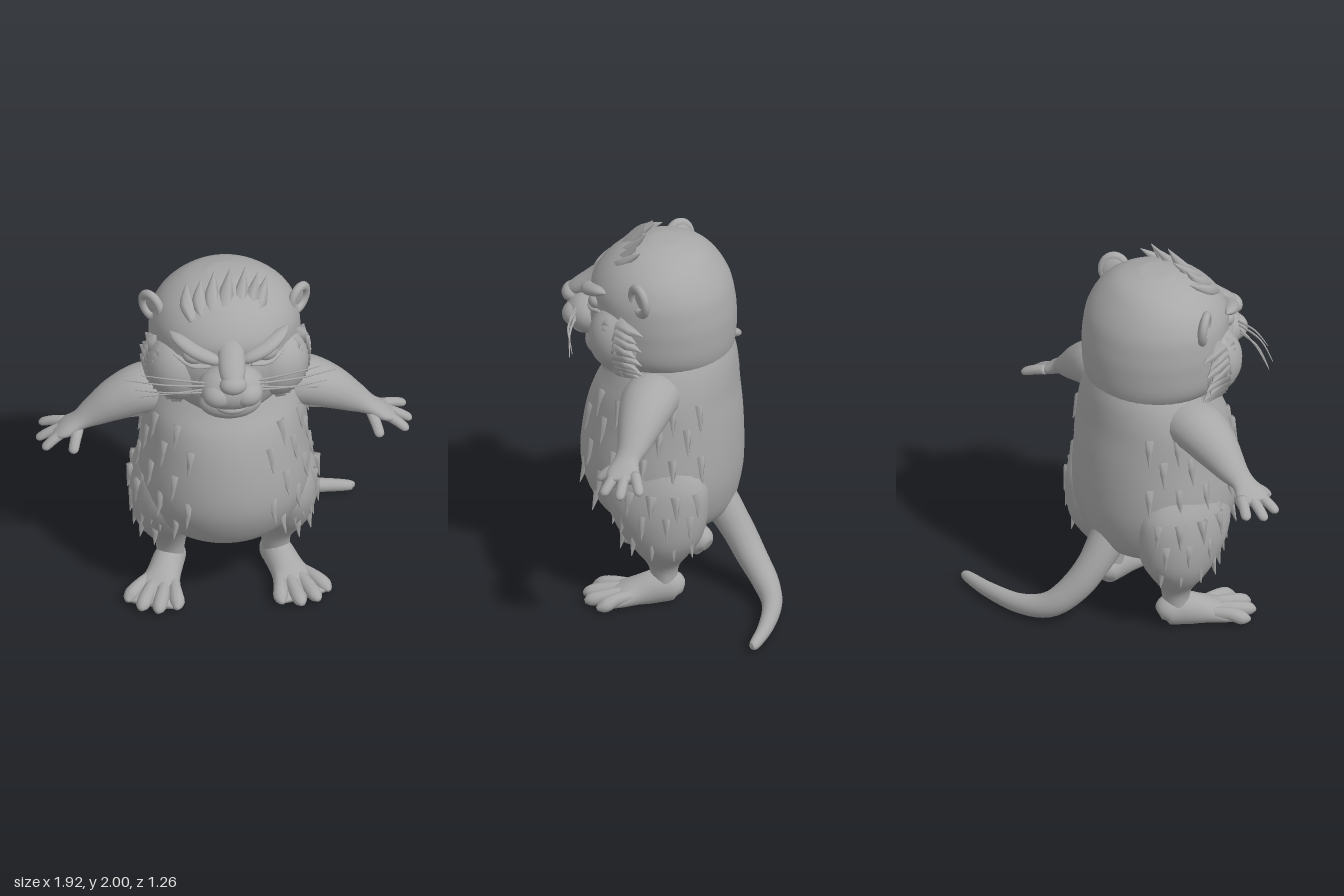
import * as THREE from 'three';
import { mergeGeometries } from 'three/addons/utils/BufferGeometryUtils.js';

const fur = new THREE.MeshStandardMaterial({ color: 0xa8a8a8 });
fur.name = 'grey fur';
const V = (x, y, z) => new THREE.Vector3(x, y, z);

// Catmull-Rom through rows of numbers, t from 0 to 1
function sample(rows, t) {
  const f = t * (rows.length - 1), i = Math.min(Math.floor(f), rows.length - 2), k = f - i;
  const at = j => rows[Math.max(0, Math.min(rows.length - 1, j))];
  const [a, b, c, d] = [at(i - 1), at(i), at(i + 1), at(i + 2)];
  return b.map((p, n) => p + 0.5 * k * (c[n] - a[n] + k * (2 * a[n] - 5 * p + 4 * c[n] - d[n]
    + k * (3 * (p - c[n]) + d[n] - a[n]))));
}

// Closed skin over a list of rings, always wound outward
function skin(rings) {
  const n = rings[0].length, m = rings.length, pos = [], idx = [];
  rings.flat().forEach(p => pos.push(p.x, p.y, p.z));
  for (let j = 0; j < m - 1; j++) for (let i = 0; i < n; i++) {
    const a = j * n + i, b = j * n + (i + 1) % n;
    idx.push(a, b, b + n, a, b + n, a + n);
  }
  [0, m - 1].forEach((j, e) => {
    const c = rings[j].reduce((s, p) => s.add(p), V(0, 0, 0)).divideScalar(n);
    pos.push(c.x, c.y, c.z);
    for (let i = 0; i < n; i++) {
      const a = j * n + i, b = j * n + (i + 1) % n;
      idx.push(m * n + e, e ? a : b, e ? b : a);
    }
  });
  let volume = 0;
  const P = i => V(pos[3 * i], pos[3 * i + 1], pos[3 * i + 2]);
  for (let i = 0; i < idx.length; i += 3) volume += P(idx[i]).dot(P(idx[i + 1]).cross(P(idx[i + 2])));
  if (volume < 0) idx.reverse();
  const g = new THREE.BufferGeometry();
  g.setAttribute('position', new THREE.Float32BufferAttribute(pos, 3));
  g.setIndex(idx);
  g.computeVertexNormals();
  return g;
}

// Point on a level section: [y, half width, back z, front z, middle z, centre x]
function levelPoint([y, rx, zb, zf, zm, cx], angle) {
  const s = Math.sin(angle);
  return V(cx + rx * Math.cos(angle), y, zm + s * (s > 0 ? zf - zm : zm - zb));
}
function stack(rows, steps = 28, sides = 40) {
  return skin(Array.from({ length: steps + 1 }, (_, j) => {
    const row = sample(rows, j / steps);
    return Array.from({ length: sides }, (_, i) => levelPoint(row, i / sides * Math.PI * 2));
  }));
}

// Tapered limb through [x, y, z, height radius, width radius]
function limb(rows, steps = 16, sides = 16) {
  return skin(Array.from({ length: steps + 1 }, (_, j) => {
    const t = j / steps, r = sample(rows, t);
    const a = sample(rows, Math.max(0, t - 0.01)), b = sample(rows, Math.min(1, t + 0.01));
    const dir = V(b[0] - a[0], b[1] - a[1], b[2] - a[2]).normalize();
    const h = V(0, 1, 0.001).cross(dir).normalize(), v = dir.clone().cross(h);
    return Array.from({ length: sides }, (_, i) => {
      const w = i / sides * Math.PI * 2;
      return V(r[0], r[1], r[2]).addScaledVector(h, r[4] * Math.cos(w)).addScaledVector(v, r[3] * Math.sin(w));
    });
  }));
}
const tuft = (a, b, r) => limb([[...a, r, r], [...b, 0.002, 0.002]], 2, 5);

function blob(x, y, z, rx, ry, rz, tilt = 0) {
  const g = new THREE.SphereGeometry(1, 24, 16).scale(rx, ry, rz).rotateZ(tilt).translate(x, y, z);
  g.deleteAttribute('uv');
  return g;
}
function mirrored(g) {
  const m = g.clone().scale(-1, 1, 1);
  m.index.array.reverse();
  return m;
}

export function createModel() {
  const model = new THREE.Group();
  const add = (name, g) => {
    const mesh = new THREE.Mesh(g, fur);
    mesh.name = name;
    model.add(mesh);
  };
  const pair = (name, g) => {
    add('left' + name, g);
    add('right' + name, mirrored(g));
  };

  // Round torso
  const bodyRows = [[0.33, 0.1, -0.1, 0.2], [0.37, 0.25, -0.19, 0.3], [0.45, 0.36, -0.27, 0.41], [0.6, 0.43, -0.31, 0.49],
    [0.75, 0.44, -0.32, 0.51], [0.95, 0.42, -0.315, 0.485], [1.1, 0.41, -0.3, 0.44], [1.2, 0.39, -0.295, 0.385],
    [1.3, 0.35, -0.285, 0.34], [1.4, 0.29, -0.26, 0.3]].map(r => [...r, 0.05, 0]);
  add('torso', stack(bodyRows, 36, 48));

  // Skull and cheeks
  add('head', stack([[1.2, 0.08, 0, 0.28], [1.24, 0.24, -0.22, 0.39], [1.35, 0.36, -0.275, 0.435], [1.5, 0.385, -0.285, 0.46],
    [1.6, 0.385, -0.275, 0.45], [1.7, 0.37, -0.25, 0.45], [1.8, 0.315, -0.19, 0.385], [1.88, 0.21, -0.11, 0.28],
    [1.92, 0.08, 0.01, 0.15]].map(r => [...r, 0.08, 0]), 36, 48));
  pair('Cheek', blob(0.245, 1.46, 0.23, 0.17, 0.19, 0.18));

  // Muzzle, nose, mouth
  add('muzzle', blob(0, 1.47, 0.46, 0.17, 0.12, 0.135));
  pair('WhiskerPad', blob(0.07, 1.465, 0.52, 0.085, 0.07, 0.08));
  add('noseBridge', limb([[0, 1.73, 0.4, 0.03, 0.06], [0, 1.66, 0.44, 0.05, 0.07], [0, 1.59, 0.53, 0.045, 0.065],
    [0, 1.555, 0.59, 0.03, 0.04]]));
  add('nose', blob(0, 1.55, 0.57, 0.07, 0.05, 0.052));
  add('lowerLip', blob(0, 1.375, 0.5, 0.085, 0.035, 0.065));
  add('chin', blob(0, 1.33, 0.4, 0.16, 0.09, 0.09));

  // Eyes under frowning brows
  pair('Eye', blob(0.185, 1.615, 0.38, 0.06, 0.045, 0.05, 0.25));
  pair('Brow', limb([[0.04, 1.61, 0.45, 0.01, 0.01], [0.09, 1.635, 0.455, 0.03, 0.035], [0.18, 1.67, 0.425, 0.032, 0.045],
    [0.26, 1.705, 0.36, 0.025, 0.035], [0.3, 1.72, 0.31, 0.005, 0.005]]));
  pair('LowerLid', limb([[0.1, 1.58, 0.43, 0.01, 0.02], [0.19, 1.572, 0.4, 0.015, 0.03], [0.28, 1.6, 0.34, 0.005, 0.01]]));

  // Ears: rim and hollow
  const rim = new THREE.TorusGeometry(0.062, 0.022, 12, 28).scale(1, 1.15, 1);
  rim.deleteAttribute('uv');
  const ear = mergeGeometries([rim, blob(0, 0, -0.015, 0.062, 0.072, 0.018)]);
  pair('Ear', ear.rotateY(0.85).rotateZ(-0.15).translate(0.375, 1.74, 0.11));

  // Whiskers
  pair('Whiskers', mergeGeometries([[1.53, 0.46, 1.555, 0.45], [1.51, 0.54, 1.51, 0.42], [1.49, 0.47, 1.42, 0.45],
    [1.47, 0.49, 1.45, 0.43]].map(([y, x, ty, tz]) => limb([[0.14, y, 0.51, 0.006, 0.006],
    [(x + 0.14) / 2, (y + ty) / 2 + 0.008, 0.495, 0.005, 0.005], [x, ty, tz, 0.002, 0.002]], 10, 6))));

  // Cheek mane
  const mane = [];
  for (let i = 0; i < 10; i++) {
    const a = 0.55 - i * 0.19, c = Math.cos(a), s = Math.sin(a);
    const x = 0.23 + 0.155 * c, y = 1.48 + 0.19 * s;
    mane.push(tuft([x, y, 0.22], [x + 0.05 * c, y - 0.035 + 0.02 * s, 0.08 + (i % 2) * 0.03], 0.055));
    mane.push(tuft([x - 0.03, y, 0.29], [x + 0.03 * c, y - 0.05, 0.2], 0.045));
  }
  pair('CheekMane', mergeGeometries(mane));

  // Crest of hair
  add('crest', mergeGeometries([[-0.2, 1.9], [-0.13, 1.94], [-0.06, 1.965], [0.02, 2], [0.1, 1.985], [0.16, 1.965], [0.21, 1.925]]
    .map(([x, y], i) => limb([[x * 0.75 - 0.03, 1.83 - Math.abs(x) * 0.2, 0.33, 0.015, 0.025],
      [x * 0.9 - 0.025, 1.89 - Math.abs(x) * 0.25, 0.25, 0.03, 0.04], [x, y, 0.15 + (i % 2) * 0.03, 0.002, 0.002]], 8, 6))));

  // Arms with four-fingered hands
  pair('Arm', limb([[0.24, 1.19, 0.04, 0.12, 0.14], [0.4, 1.19, 0.05, 0.125, 0.145], [0.54, 1.135, 0.055, 0.11, 0.12],
    [0.66, 1.065, 0.06, 0.075, 0.085], [0.74, 1.02, 0.07, 0.045, 0.065], [0.81, 0.98, 0.07, 0.035, 0.085],
    [0.86, 0.955, 0.06, 0.02, 0.07]], 28, 20));
  pair('Fingers', mergeGeometries([[0.93, 0.925, -0.05, 0.01], [0.955, 0.9, 0.05, 0.06], [0.93, 0.9, 0.145, 0.1],
    [0.785, 0.91, 0.21, 0.11]].map(([x, y, z, z0], i) => {
    const x0 = i === 3 ? 0.75 : 0.81, y0 = i === 3 ? 0.99 : 0.98;
    return limb([[x0, y0, z0, 0.025, 0.03], [(x0 + x) / 2, (y0 + y) / 2 + 0.008, (z0 + z) / 2, 0.025, 0.028],
      [x * 0.9 + x0 * 0.1, y + 0.012, z * 0.9 + z0 * 0.1, 0.02, 0.025], [x, y, z, 0.005, 0.007]], 10, 10);
  })));

  // Legs
  pair('Leg', stack([[0.1, 0.07, -0.06, 0.07, 0, 0.27], [0.2, 0.08, -0.07, 0.09, 0, 0.27], [0.3, 0.135, -0.14, 0.15, 0, 0.29],
    [0.4, 0.17, -0.2, 0.23, 0, 0.295], [0.55, 0.185, -0.23, 0.3, 0.02, 0.295], [0.7, 0.16, -0.22, 0.28, 0.02, 0.3],
    [0.85, 0.09, -0.12, 0.15, 0.02, 0.31]], 24, 28));

  // Flat webbed feet, turned outward
  const foot = mergeGeometries([
    limb([[0, 0.06, -0.085, 0.03, 0.035], [0, 0.075, -0.05, 0.075, 0.07], [0, 0.08, 0.03, 0.09, 0.08],
      [0, 0.055, 0.14, 0.075, 0.09], [0, 0.035, 0.25, 0.045, 0.125], [0, 0.02, 0.35, 0.015, 0.13]], 24, 20),
    ...[[-0.13, 0.36], [-0.045, 0.415], [0.045, 0.415], [0.13, 0.36]].map(([x, z]) =>
      limb([[x * 0.4, 0.06, 0.14, 0.03, 0.025], [x * 0.75, 0.055, 0.26, 0.035, 0.035], [x * 0.95, 0.035, z - 0.04, 0.035, 0.037],
        [x, 0.025, z, 0.01, 0.012]], 12, 10))]);
  const p = foot.attributes.position;
  for (let i = 0; i < p.count; i++) p.setY(i, Math.max(0, p.getY(i)));
  foot.computeVertexNormals();
  pair('Foot', foot.rotateY(0.35).translate(0.27, 0, 0));

  // Tail curling to the left
  add('tail', limb([[0, 0.48, -0.2, 0.1, 0.1], [0.01, 0.33, -0.3, 0.085, 0.085], [0.05, 0.2, -0.39, 0.078, 0.078],
    [0.13, 0.095, -0.49, 0.067, 0.067], [0.28, 0.055, -0.565, 0.052, 0.052], [0.5, 0.042, -0.595, 0.04, 0.04],
    [0.69, 0.034, -0.59, 0.028, 0.028], [0.72, 0.032, -0.585, 0.01, 0.01]], 36, 16));

  // Fur tufts on flanks, thighs and upper arms
  const tufts = [];
  for (let row = 0; row < 5; row++) for (let k = 0; k < 5; k++) {
    const q = levelPoint(sample(bodyRows, 0.3 + row * 0.09), -0.75 + k * 0.4 + (row % 2) * 0.2);
    const d = V(q.x, 0, q.z - 0.05).normalize();
    tufts.push(tuft([q.x - d.x * 0.02, q.y + 0.05, q.z - d.z * 0.02],
      [q.x + d.x * 0.02, q.y - 0.09, q.z + d.z * 0.02], 0.03));
  }
  for (let row = 0; row < 3; row++) for (let k = 0; k < 5; k++) {
    const a = -1.1 + k * 0.55 + (row % 2) * 0.2, y = 0.38 + row * 0.12, r = [0.14, 0.165, 0.17][row];
    const x = 0.295 + r * Math.cos(a), z = 0.02 + r * 1.35 * Math.sin(a);
    tufts.push(tuft([x, y + 0.06, z], [x + 0.025 * Math.cos(a), y - 0.07, z + 0.025 * Math.sin(a)], 0.032));
  }
  for (const [x, y, z] of [[0.44, 1.27, 0.06], [0.5, 1.22, 0.12], [0.5, 1.2, -0.02], [0.48, 1.1, 0.13], [0.48, 1.09, 0]])
    tufts.push(tuft([x - 0.05, y, z], [x + 0.08, y - 0.035, z + 0.005], 0.03));
  pair('FurTufts', mergeGeometries(tufts));

  return model;
}
